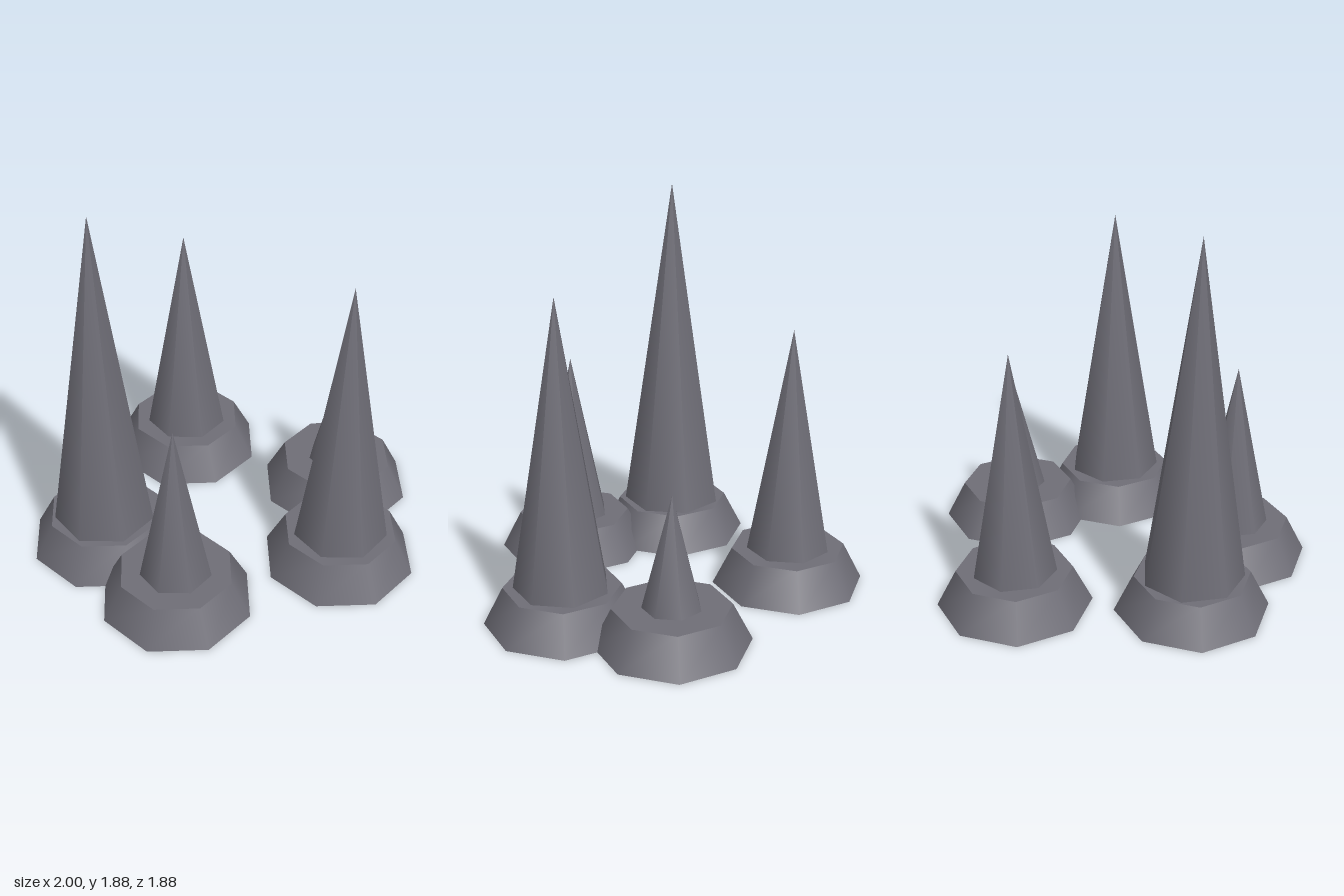
import * as THREE from 'three';

const BASE_HEIGHT = 0.185;

// x, z, tip height, spike radius
const SPIKES = [
  [-0.625, -0.045, 1.88, 0.25],
  [-0.47, 0.485, 1.025, 0.175],
  [0.047, -0.565, 1.31, 0.205],
  [0.375, 0.56, 1.595, 0.232],
  [0.623, 0.062, 0.74, 0.142],
];

export function createModel() {
  const model = new THREE.Group();
  model.name = 'spikeCluster';
  const stone = new THREE.MeshStandardMaterial({ color: 0x6f6e77 });
  stone.name = 'dark grey stone';

  // Tapered eight-sided foot shared by every spike
  const baseGeometry = new THREE.CylinderGeometry(0.281, 0.375, BASE_HEIGHT, 8);
  baseGeometry.translate(0, BASE_HEIGHT / 2, 0);

  for (const [x, z, tip, radius] of SPIKES) {
    const spikeUnit = new THREE.Group();
    spikeUnit.name = 'spikeWithBase';
    spikeUnit.position.set(x, 0, z);

    const base = new THREE.Mesh(baseGeometry, stone);
    base.name = 'base';

    // Seven-sided spike standing on the foot
    const height = tip - BASE_HEIGHT;
    const spike = new THREE.Mesh(new THREE.ConeGeometry(radius, height, 7), stone);
    spike.name = 'spike';
    spike.position.y = BASE_HEIGHT + height / 2;

    spikeUnit.add(base, spike);
    model.add(spikeUnit);
  }
  return model;
}
